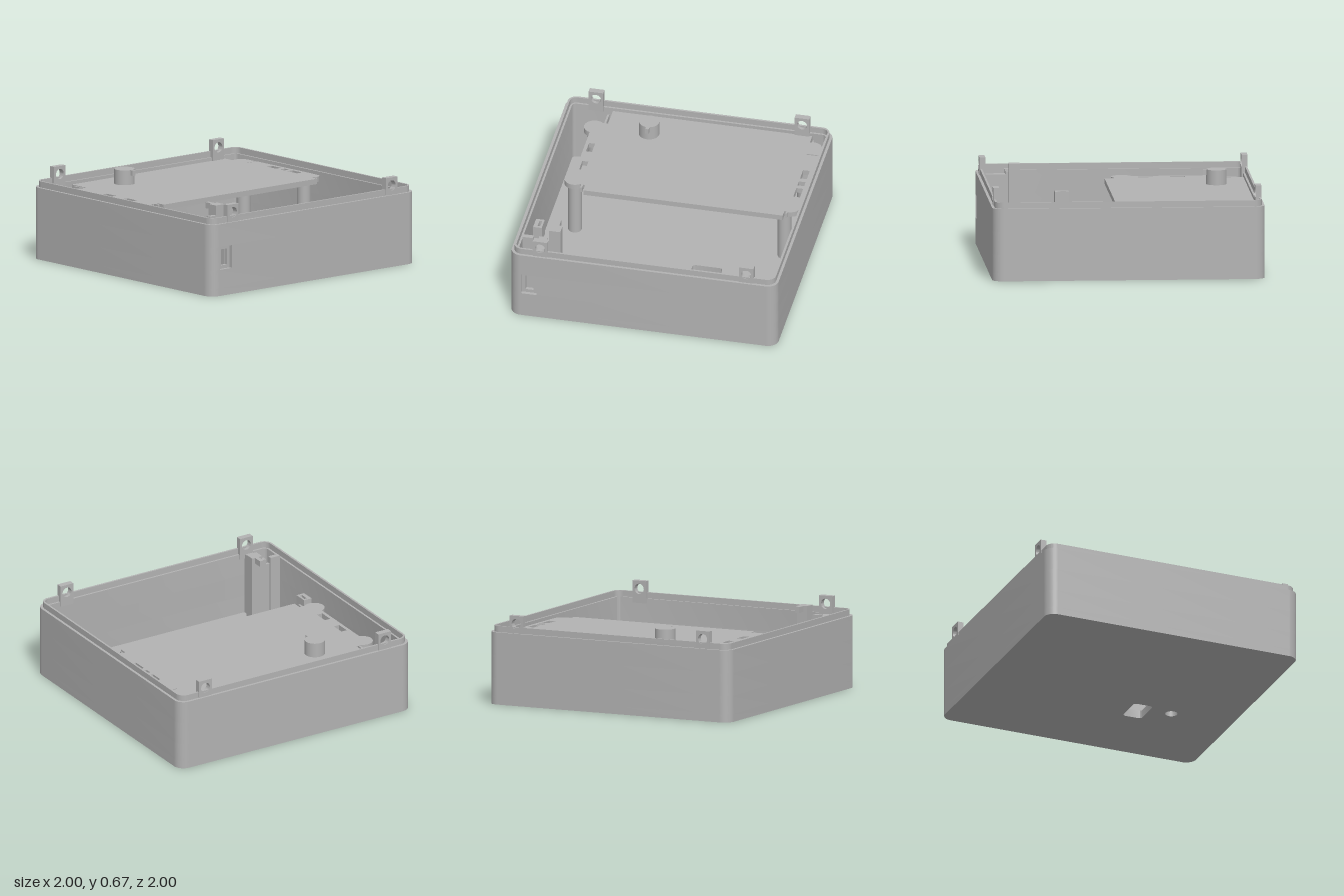
import * as THREE from 'three';
import { toCreasedNormals } from 'three/addons/utils/BufferGeometryUtils.js';

export function createModel() {
  const group = new THREE.Group();
  const grey = new THREE.MeshStandardMaterial({ color: 0xb2b2b2 });
  grey.name = 'grey plastic';

  const add = (name, geometry) => {
    const mesh = new THREE.Mesh(geometry, grey);
    mesh.name = name;
    group.add(mesh);
    return mesh;
  };
  // Horizontal slab from a plan shape drawn in (x, z)
  const slab = (name, shape, y0, y1) => {
    const g = new THREE.ExtrudeGeometry(shape, { depth: y1 - y0, bevelEnabled: false, curveSegments: 12 });
    g.rotateX(Math.PI / 2).translate(0, y1, 0);
    return add(name, toCreasedNormals(g, 0.5));
  };
  // Vertical plate facing x from a shape drawn in (-z, y)
  const sidePlate = (name, shape, x0, x1) => {
    const g = new THREE.ExtrudeGeometry(shape, { depth: x1 - x0, bevelEnabled: false, curveSegments: 16 });
    g.rotateY(Math.PI / 2).translate(x0, 0, 0);
    return add(name, toCreasedNormals(g, 0.5));
  };
  const box = (name, x0, x1, y0, y1, z0, z1) => {
    const g = new THREE.BoxGeometry(x1 - x0, y1 - y0, z1 - z0);
    return add(name, g.translate((x0 + x1) / 2, (y0 + y1) / 2, (z0 + z1) / 2));
  };
  const rounded = (x0, x1, z0, z1, r, Type = THREE.Shape) => {
    const s = new Type(), h = Math.PI / 2;
    s.absarc(x1 - r, z1 - r, r, 0, h);
    s.absarc(x0 + r, z1 - r, r, h, 2 * h);
    s.absarc(x0 + r, z0 + r, r, 2 * h, 3 * h);
    s.absarc(x1 - r, z0 + r, r, 3 * h, 4 * h);
    s.closePath();
    return s;
  };
  const rect = (x0, x1, y0, y1, Type = THREE.Path) =>
    new Type([[x0, y0], [x1, y0], [x1, y1], [x0, y1]].map(p => new THREE.Vector2(...p)));
  const circle = (x, y, r) => new THREE.Path().absarc(x, y, r, 0, Math.PI * 2);
  const ring = (a, ra, b, rb) => {
    const s = rounded(-a, a, -a, a, ra);
    s.holes.push(rounded(-b, b, -b, b, rb, THREE.Path));
    return s;
  };

  // Floor with its two openings
  const floor = rounded(-1, 1, -1, 1, 0.08);
  floor.holes.push(rounded(0.2, 0.35, -0.425, -0.2, 0.025, THREE.Path), circle(0.52, -0.26, 0.045));
  slab('floor', floor, 0, 0.06);

  // Walls, with a gap for the side port
  const wall = ring(1, 0.08, 0.95, 0.03);
  slab('lowerWall', wall, 0.06, 0.195);
  slab('upperWall', wall, 0.365, 0.535);
  const outer = rounded(-1, 1, -1, 1, 0.08).getPoints(12);
  const inner = rounded(-0.95, 0.95, -0.95, 0.95, 0.03).getPoints(12);
  const open = (pts, x) => [
    new THREE.Vector2(x, 0.915),
    ...pts.slice(0, -1).filter(p => !(p.x > x - 1e-6 && p.y > 0.8 && p.y < 0.915)),
    new THREE.Vector2(x, 0.8),
  ];
  slab('portWall', new THREE.Shape([...open(outer, 1), ...open(inner, 0.95).reverse()]), 0.195, 0.365);
  const port = rect(-0.915, -0.8, 0.195, 0.365, THREE.Shape);
  port.holes.push(rect(-0.885, -0.825, 0.22, 0.34));
  sidePlate('portRecess', port, 0.95, 0.975);

  // Raised lip around the rim
  slab('rimLip', ring(0.98, 0.065, 0.965, 0.05), 0.535, 0.58);

  // Four screw tabs
  for (const x of [-0.985, 0.94]) {
    for (const z of [-0.77, 0.775]) {
      const tab = rect(-z - 0.055, -z + 0.055, 0.5, 0.665, THREE.Shape);
      tab.holes.push(circle(-z, 0.605, 0.038));
      sidePlate('screwTab', tab, x, x + 0.045);
    }
  }

  // Circuit board with notched ends, two round lugs and slots
  const board = new THREE.Shape();
  board.moveTo(-0.95, -0.845);
  board.lineTo(-0.87, -0.845);
  board.lineTo(-0.87, -0.86);
  board.lineTo(-0.9, -0.86);
  board.lineTo(-0.9, -0.87);
  board.lineTo(-0.88, -0.87);
  board.quadraticCurveTo(-0.87, -0.945, -0.81, -0.945);
  board.lineTo(-0.725, -0.945);
  board.lineTo(-0.725, -0.85);
  board.lineTo(-0.715, -0.85);
  board.lineTo(-0.715, -0.95);
  board.lineTo(-0.12, -0.95);
  board.lineTo(-0.04, -0.945);
  board.quadraticCurveTo(0.015, -0.945, 0.02, -0.87);
  board.lineTo(0.04, -0.87);
  board.lineTo(0.04, -0.86);
  board.lineTo(0.01, -0.86);
  board.lineTo(0.01, -0.845);
  board.lineTo(0.07, -0.845);
  board.lineTo(0.07, 0.65);
  board.lineTo(0, 0.65);
  board.lineTo(0, 0.665);
  board.lineTo(0.04, 0.665);
  board.lineTo(0.04, 0.68);
  board.lineTo(0, 0.68);
  board.absarc(-0.06, 0.74, 0.077, -0.75, 2.88);
  board.lineTo(-0.655, 0.76);
  board.absarc(-0.73, 0.74, 0.077, 0.26, 3.9);
  board.lineTo(-0.79, 0.68);
  board.lineTo(-0.9, 0.68);
  board.lineTo(-0.9, 0.665);
  board.lineTo(-0.79, 0.665);
  board.lineTo(-0.79, 0.65);
  board.lineTo(-0.95, 0.65);
  board.closePath();
  for (const [a, b] of [[-0.52, -0.415], [-0.375, -0.325], [-0.29, -0.18]]) {
    board.holes.push(rect(a, b, -0.92, -0.87));
    if (b - a > 0.06) board.holes.push(rect(a, b, 0.69, 0.735));
  }
  slab('circuitBoard', board, 0.47, 0.51);

  // Posts carrying the board
  for (const x of [-0.73, -0.06]) {
    for (const z of [-0.83, 0.74]) {
      add('boardPost', new THREE.CylinderGeometry(0.05, 0.05, 0.42, 24).translate(x, 0.265, z));
    }
  }

  // Round knob with a small key
  add('knob', new THREE.CylinderGeometry(0.075, 0.075, 0.12, 32).translate(-0.73, 0.56, 0.33));
  box('knobKey', -0.665, -0.63, 0.58, 0.62, 0.312, 0.338);

  // Square post with a side arm
  box('cornerPost', 0.69, 0.77, 0.06, 0.62, 0.67, 0.755);
  box('cornerPostArm', 0.62, 0.69, 0.575, 0.62, 0.695, 0.725);

  // Bracket behind the side port
  box('portBlock', 0.79, 0.95, 0.06, 0.53, 0.765, 0.83);
  box('portBracketEnd', 0.755, 0.79, 0.06, 0.55, 0.765, 0.83);
  box('portBracketMiddle', 0.77, 0.79, 0.06, 0.5, 0.83, 0.87);
  box('portBracketFoot', 0.755, 0.79, 0.06, 0.55, 0.87, 0.95);

  // Slotted catch on the front wall
  const clip = rect(0.315, 0.42, 0.885, 0.95, THREE.Shape);
  clip.holes.push(rect(0.335, 0.4, 0.9, 0.92));
  slab('wallCatch', clip, 0.25, 0.38);

  return group;
}
